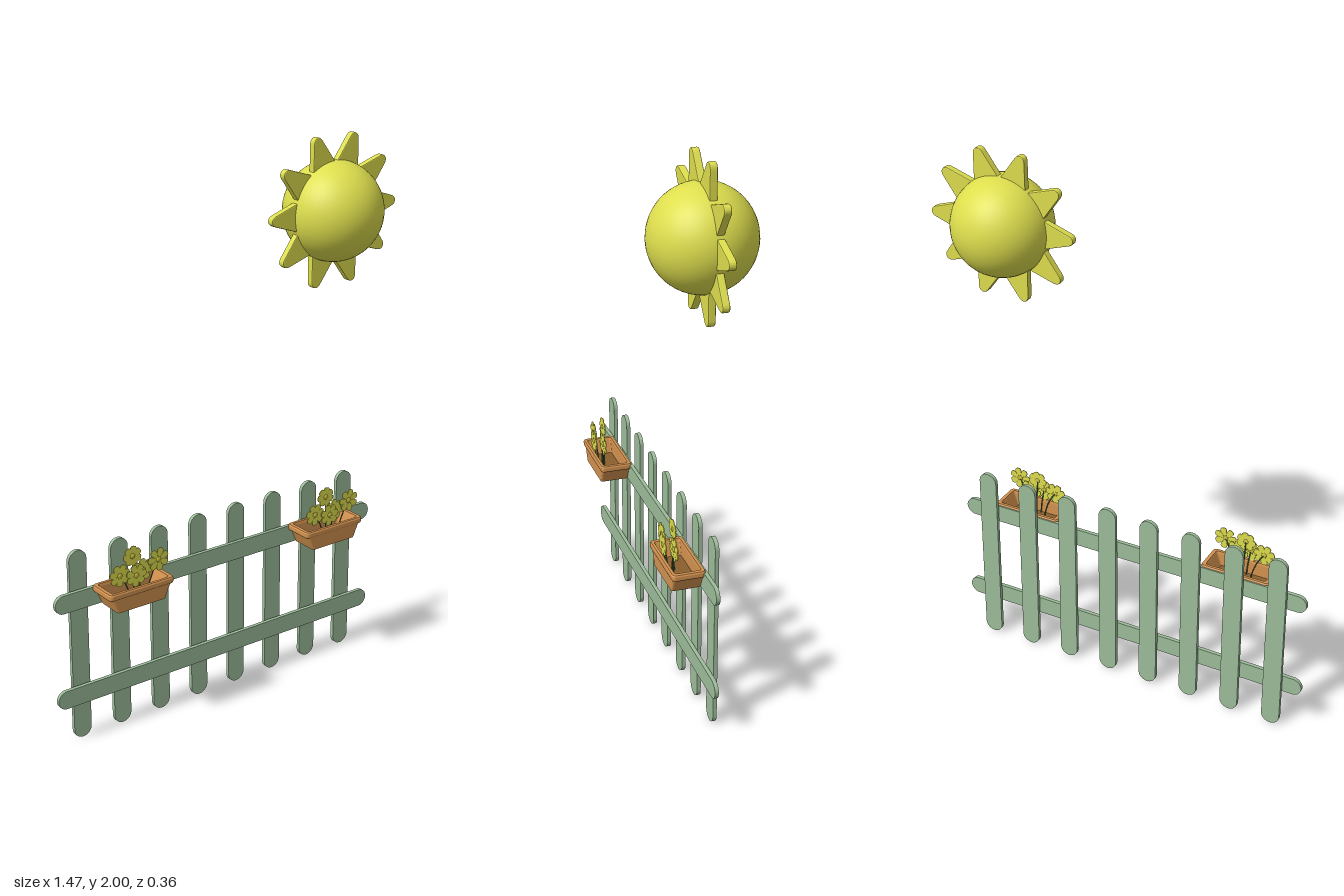
import * as THREE from 'three';

const mat = (color, side = THREE.FrontSide) => new THREE.MeshStandardMaterial({ color, side });

function add(parent, name, geometry, material, x = 0, y = 0, z = 0) {
  const mesh = new THREE.Mesh(geometry, material);
  mesh.name = name;
  mesh.position.set(x, y, z);
  parent.add(mesh);
  return mesh;
}

// Flat board with round ends, lying along x, centred on the origin
function boardGeometry(length, width, depth) {
  const r = width / 2, h = length / 2 - r;
  const s = new THREE.Shape();
  s.absarc(h, 0, r, -Math.PI / 2, Math.PI / 2, false);
  s.absarc(-h, 0, r, Math.PI / 2, Math.PI * 1.5, false);
  return new THREE.ExtrudeGeometry(s, { depth, bevelEnabled: false, curveSegments: 12 })
    .translate(0, 0, -depth / 2);
}

// Rounded rectangle of half sizes a, b as a loop of [x, z]
function roundedLoop(a, b, r) {
  const pts = [];
  [[1, 1], [-1, 1], [-1, -1], [1, -1]].forEach(([sx, sz], q) => {
    for (let i = 0; i <= 4; i++) {
      const t = (q + i / 4) * Math.PI / 2;
      pts.push([sx * (a - r) + r * Math.cos(t), sz * (b - r) + r * Math.sin(t)]);
    }
  });
  return pts;
}

// Open trough lofted through [half width, half depth, corner radius, y]
function troughGeometry(sections) {
  const pos = [];
  const loops = sections.map(([a, b, r, y]) => roundedLoop(a, b, r).map(([x, z]) => [x, y, z]));
  const n = loops[0].length;
  for (let k = 0; k < loops.length - 1; k++) {
    for (let i = 0; i < n; i++) {
      const j = (i + 1) % n, lo = loops[k], hi = loops[k + 1];
      pos.push(...lo[i], ...hi[i], ...hi[j], ...lo[i], ...hi[j], ...lo[j]);
    }
  }
  // Underside and inner floor
  const bottom = loops[0], floor = loops[loops.length - 1];
  for (let i = 1; i < n - 1; i++) {
    pos.push(...bottom[0], ...bottom[i], ...bottom[i + 1]);
    pos.push(...floor[0], ...floor[i + 1], ...floor[i]);
  }
  const g = new THREE.BufferGeometry();
  g.setAttribute('position', new THREE.Float32BufferAttribute(pos, 3));
  g.computeVertexNormals();
  return g;
}

// Tapered sun ray with a rounded tip, pointing along +x
function rayGeometry() {
  const s = new THREE.Shape();
  s.moveTo(0.15, -0.057);
  s.lineTo(0.262, -0.02);
  s.quadraticCurveTo(0.28, -0.014, 0.28, 0);
  s.quadraticCurveTo(0.28, 0.014, 0.262, 0.02);
  s.lineTo(0.15, 0.057);
  s.closePath();
  return new THREE.ExtrudeGeometry(s, {
    depth: 0.018, bevelEnabled: true, bevelSize: 0.003, bevelThickness: 0.004,
    bevelOffset: -0.003, bevelSegments: 2, curveSegments: 5,
  }).translate(0, 0, -0.009);
}

// Rounded petal from the flower centre along +x
function petalGeometry(length) {
  const s = new THREE.Shape();
  s.moveTo(0.004, 0);
  s.bezierCurveTo(length * 0.5, -0.013, length, -0.02, length, 0);
  s.bezierCurveTo(length, 0.02, length * 0.5, 0.013, 0.004, 0);
  return new THREE.ExtrudeGeometry(s, { depth: 0.003, bevelEnabled: false, curveSegments: 6 });
}

export function createModel() {
  const model = new THREE.Group();
  model.name = 'fenceWithSun';
  const green = mat(0x9dbd9a), yellow = mat(0xdede4e), clay = mat(0xd3924f);
  const soilBrown = mat(0x8a5f2c), stemGreen = mat(0x4a7040), centreGold = mat(0xc9bd3c);

  // Fence
  const fence = new THREE.Group();
  fence.name = 'fence';
  model.add(fence);
  const picket = boardGeometry(0.72, 0.07, 0.014).rotateZ(Math.PI / 2);
  for (let i = 0; i < 8; i++) add(fence, 'picket', picket, green, -0.629 + i * 0.168, 0.361, -0.02);
  const rail = boardGeometry(1.39, 0.068, 0.014);
  for (const y of [0.179, 0.545]) add(fence, 'rail', rail, green, -0.04, y, 0);

  // Sun
  const sun = new THREE.Group();
  sun.name = 'sun';
  sun.position.set(0.455, 1.737, 0);
  model.add(sun);
  add(sun, 'sunBall', new THREE.SphereGeometry(0.18, 48, 32), yellow);
  const ray = rayGeometry();
  for (let i = 0; i < 10; i++) add(sun, 'sunRay', ray, yellow).rotation.z = i * Math.PI / 5;

  // Flower boxes
  const trough = troughGeometry([
    [0.098, 0.053, 0.008, 0.51], [0.12, 0.054, 0.008, 0.562], [0.13, 0.058, 0.012, 0.564],
    [0.132, 0.06, 0.014, 0.569], [0.132, 0.06, 0.014, 0.581], [0.129, 0.057, 0.012, 0.586],
    [0.116, 0.047, 0.008, 0.586], [0.112, 0.045, 0.006, 0.576], [0.092, 0.045, 0.006, 0.52],
  ]);
  // Flower heads: x, y, z, petal length, turn
  const heads = [
    [-0.075, 0.637, 0.03, 0.041, 0.2], [-0.011, 0.686, 0.012, 0.037, 0.5],
    [-0.018, 0.628, 0.045, 0.041, 0.1], [0.024, 0.63, 0.022, 0.041, 0.7],
    [0.079, 0.658, 0.036, 0.043, 0.4],
  ];
  for (const x of [-0.452, 0.4]) {
    const box = new THREE.Group();
    box.name = 'flowerBox';
    box.position.set(x, 0, 0.058);
    model.add(box);
    add(box, 'trough', trough, clay);
    add(box, 'soil', new THREE.BoxGeometry(0.19, 0.008, 0.088), soilBrown, 0, 0.526, 0);

    for (const [fx, fy, fz, len, turn] of heads) {
      const flower = new THREE.Group();
      flower.name = 'flower';
      flower.position.set(fx, fy, fz);
      flower.rotation.z = turn;
      box.add(flower);
      const petal = petalGeometry(len);
      for (let i = 0; i < 7; i++) add(flower, 'petal', petal, yellow).rotation.z = i * Math.PI * 2 / 7;
      add(flower, 'flowerCentre', new THREE.SphereGeometry(0.01, 12, 8), centreGold, 0, 0, 0.002)
        .scale.z = 0.5;

      // Curved stem down to the soil
      const path = new THREE.QuadraticBezierCurve3(
        new THREE.Vector3(fx * 0.4, 0.526, fz * 0.8),
        new THREE.Vector3(fx * 0.5, 0.59, fz),
        new THREE.Vector3(fx, fy, fz - 0.001));
      add(box, 'stem', new THREE.TubeGeometry(path, 8, 0.0025, 6), stemGreen);
    }
  }
  return model;
}
